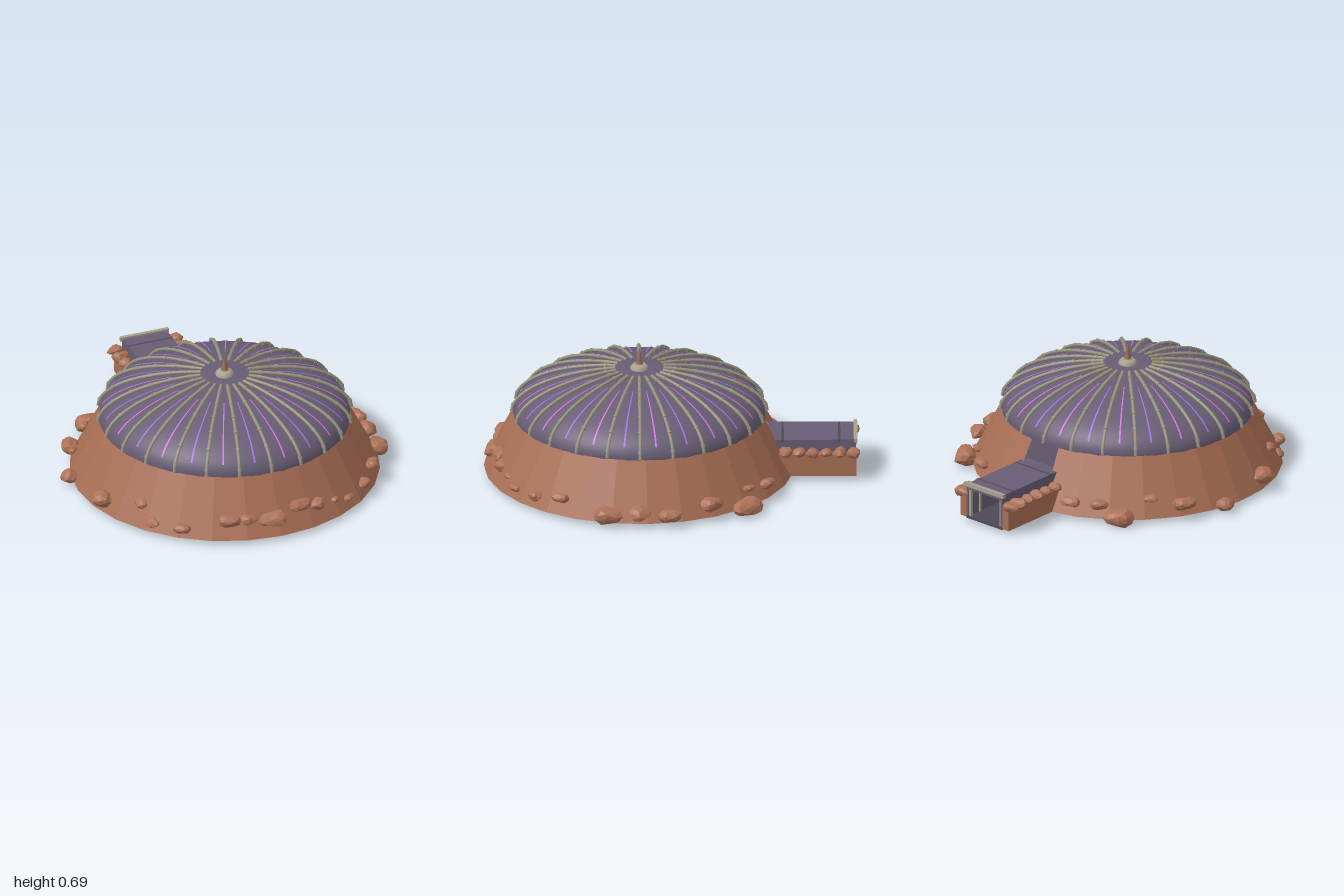
import * as THREE from 'three';

const mat = (name, color, extra = {}) => {
  const m = new THREE.MeshStandardMaterial({ color, ...extra });
  m.name = name;
  return m;
};

export function createModel() {
  const M = {
    earth: mat('terracotta earth', 0xa86e55, { flatShading: true, side: THREE.DoubleSide }),
    rock: mat('rock', 0xad7259, { flatShading: true }),
    shell: mat('purple grey shell', 0x685d74, { side: THREE.DoubleSide }),
    rib: mat('khaki metal', 0x96937f),
    pale: mat('pale metal', 0xa5a28f),
    floor: mat('dark floor', 0x4e4856),
    pink: mat('pink light', 0xd673e2, { side: THREE.DoubleSide }),
    violet: mat('violet light', 0xa074e4, { side: THREE.DoubleSide }),
    spire: mat('copper', 0x9a6a56),
  };
  const root = new THREE.Group();
  root.name = 'domedShelter';
  const hall = new THREE.Group();
  hall.name = 'domeHall';
  hall.position.z = 0.175;
  root.add(hall);

  const add = (parent, name, geo, material, x = 0, y = 0, z = 0) => {
    const m = new THREE.Mesh(geo, material);
    m.name = name;
    m.position.set(x, y, z);
    parent.add(m);
    return m;
  };
  const box = (name, w, h, d, material, x, y, z) =>
    add(root, name, new THREE.BoxGeometry(w, h, d), material, x, y, z);

  // Point on an elliptical dome section: a = 0 at the base, PI/2 at the top
  const arc = (a, r, h) => new THREE.Vector2(r * Math.cos(a), 0.33 + h * Math.sin(a));
  const arcPoints = (a0, a1, r, h, n) =>
    Array.from({ length: n + 1 }, (_, i) => arc(a0 + (a1 - a0) * i / n, r, h));

  // Dome shell with its drum wall, and the floor
  const profile = [new THREE.Vector2(0.655, 0.03), ...arcPoints(0, Math.PI / 2, 0.663, 0.246, 20)];
  add(hall, 'dome', new THREE.LatheGeometry(profile, 64), M.shell);
  add(hall, 'floor', new THREE.CylinderGeometry(0.66, 0.66, 0.012, 64), M.floor, 0, 0.03, 0);

  // Earth bank, open at the back for the passage
  const gap = 0.14;
  add(hall, 'earthBank', new THREE.CylinderGeometry(0.665, 0.82, 0.3, 26, 1, true,
    Math.PI + gap, Math.PI * 2 - 2 * gap), M.earth, 0, 0.178, 0);

  // Ribs with clamps, and light strips between them
  const ribCurve = new THREE.CatmullRomCurve3(
    arcPoints(0.02, 1.38, 0.674, 0.255, 10).map(p => new THREE.Vector3(p.x, p.y, 0)));
  const rib = new THREE.Group();
  add(rib, 'ribTube', new THREE.TubeGeometry(ribCurve, 24, 0.009, 8), M.rib);
  for (let i = 0; i < 6; i++) {
    const t = 0.06 + i * 0.17;
    const p = ribCurve.getPointAt(t);
    const clamp = add(rib, 'ribClamp', new THREE.CylinderGeometry(0.0115, 0.0115, 0.014, 10), M.rib, p.x, p.y, 0);
    clamp.quaternion.setFromUnitVectors(new THREE.Vector3(0, 1, 0), ribCurve.getTangentAt(t));
  }
  const stripPoints = arcPoints(0.25, 1.15, 0.667, 0.249, 12);
  for (let i = 0; i < 24; i++) {
    const a = i * Math.PI / 12;
    const r = rib.clone();
    r.name = 'rib';
    r.rotation.y = a;
    hall.add(r);
    add(hall, 'lightStrip', new THREE.LatheGeometry(stripPoints, 1, a + Math.PI / 24 - 0.0075, 0.015),
      i % 2 ? M.violet : M.pink);
  }

  // Crown hub and ridged spire
  const hub = [[0.048, 0.57], [0.048, 0.588], [0.036, 0.6], [0.016, 0.605], [0, 0.605]];
  add(hall, 'crownHub', new THREE.LatheGeometry(hub.map(p => new THREE.Vector2(...p)), 20), M.pale);
  const ridges = [];
  for (let i = 0; i < 7; i++) {
    const r = 0.019 * (1 - i / 7) + 0.002;
    ridges.push(new THREE.Vector2(r, 0.603 + i * 0.012), new THREE.Vector2(r * 0.75, 0.611 + i * 0.012));
  }
  ridges.push(new THREE.Vector2(0, 0.692));
  add(hall, 'spire', new THREE.LatheGeometry(ridges, 12), M.spire);

  // Inner columns, left out beside the passage
  for (let i = 0; i < 8; i++) {
    const a = (i + 0.5) * Math.PI / 4;
    if (Math.cos(a) < -0.9) continue;
    add(hall, 'column', new THREE.CylinderGeometry(0.018, 0.018, 0.46, 12), M.pale,
      0.43 * Math.sin(a), 0.25, 0.43 * Math.cos(a));
  }

  // Passage: floor, roof, walls, earth shoulders
  box('passageFloor', 0.25, 0.012, 0.5, M.floor, 0, 0.03, -0.72);
  box('passageRoof', 0.25, 0.018, 0.49, M.shell, 0, 0.2, -0.725);
  for (const s of [-1, 1]) {
    box('passageWall', 0.012, 0.17, 0.45, M.shell, s * 0.119, 0.112, -0.742);
    box('earthShoulder', 0.045, 0.122, 0.44, M.earth, s * 0.1475, 0.09, -0.748);
    box('doorPost', 0.014, 0.168, 0.014, M.pale, s * 0.106, 0.12, -0.955);
  }
  // Raised roof panels, with dark joints between them
  for (const [z, d] of [[-0.545, 0.06], [-0.73, 0.286], [-0.925, 0.08]]) {
    box('roofPanel', 0.25, 0.009, d, M.shell, 0, 0.2135, z);
  }
  for (const z of [-0.581, -0.879]) {
    box('roofJoint', 0.252, 0.009, 0.012, M.floor, 0, 0.2135, z);
    for (const s of [-1, 1]) box('innerFrame', 0.008, 0.155, 0.012, M.pale, s * 0.109, 0.1135, z);
  }
  box('lintel', 0.275, 0.022, 0.02, M.pale, 0, 0.217, -0.965);

  // Rocks: rough stones with repeatable dents
  let seed = 7;
  const rnd = () => (seed = (seed * 16807) % 2147483647) / 2147483647;
  const rock = (x, y, z, s) => {
    const g = new THREE.IcosahedronGeometry(1, 1);
    const p = g.attributes.position;
    const k = rnd() * 6;
    const v = new THREE.Vector3();
    for (let i = 0; i < p.count; i++) {
      v.fromBufferAttribute(p, i);
      v.multiplyScalar(1 + 0.12 * Math.sin(v.x * 4 + k) + 0.1 * Math.cos(v.y * 3 + v.z * 4 + k * 2));
      p.setXYZ(i, v.x, v.y, v.z);
    }
    g.computeVertexNormals();
    const m = add(root, 'rock', g, M.rock, x, y, z);
    m.scale.set(s * 1.25, s * 0.75, s * 0.95);
    m.rotation.y = Math.atan2(x, z - 0.175);
  };
  // x, z, y, size of the stones around the bank
  const stones = [
    [-0.52, -0.48, 0.05, 0.062], [0.64, -0.39, 0.05, 0.066], [-0.82, 0.02, 0.05, 0.045],
    [-0.77, 0.37, 0.09, 0.058], [-0.73, -0.2, 0.1, 0.048], [0.8, 0.35, 0.07, 0.058],
    [0.8, 0.18, 0.08, 0.055], [0.81, 0.02, 0.07, 0.048], [0.67, 0.6, 0.12, 0.037],
    [0.72, -0.2, 0.1, 0.048], [0.43, -0.5, 0.1, 0.037], [-0.4, -0.51, 0.1, 0.037],
    [-0.26, -0.58, 0.1, 0.04], [-0.63, 0.58, 0.14, 0.037], [-0.61, 0.68, 0.07, 0.034],
    [-0.5, 0.81, 0.08, 0.037], [0.44, 0.83, 0.08, 0.028], [0.57, 0.73, 0.09, 0.035],
    [-0.26, 0.89, 0.12, 0.048], [-0.16, 0.91, 0.12, 0.042], [-0.03, 0.94, 0.11, 0.058],
    [0.13, 0.9, 0.14, 0.05], [0.23, 0.89, 0.12, 0.048], [0.35, 0.87, 0.11, 0.02],
    [-0.6, -0.32, 0.13, 0.03], [0.55, -0.4, 0.12, 0.025],
  ];
  for (const [x, z, y, s] of stones) rock(x, y, z, s);
  // Rows of stones along the passage shoulders
  for (const s of [-1, 1]) {
    for (let i = 0; i < 6; i++) rock(s * 0.168, 0.163, -0.955 + i * 0.072, 0.029 + rnd() * 0.009);
  }
  return root;
}
